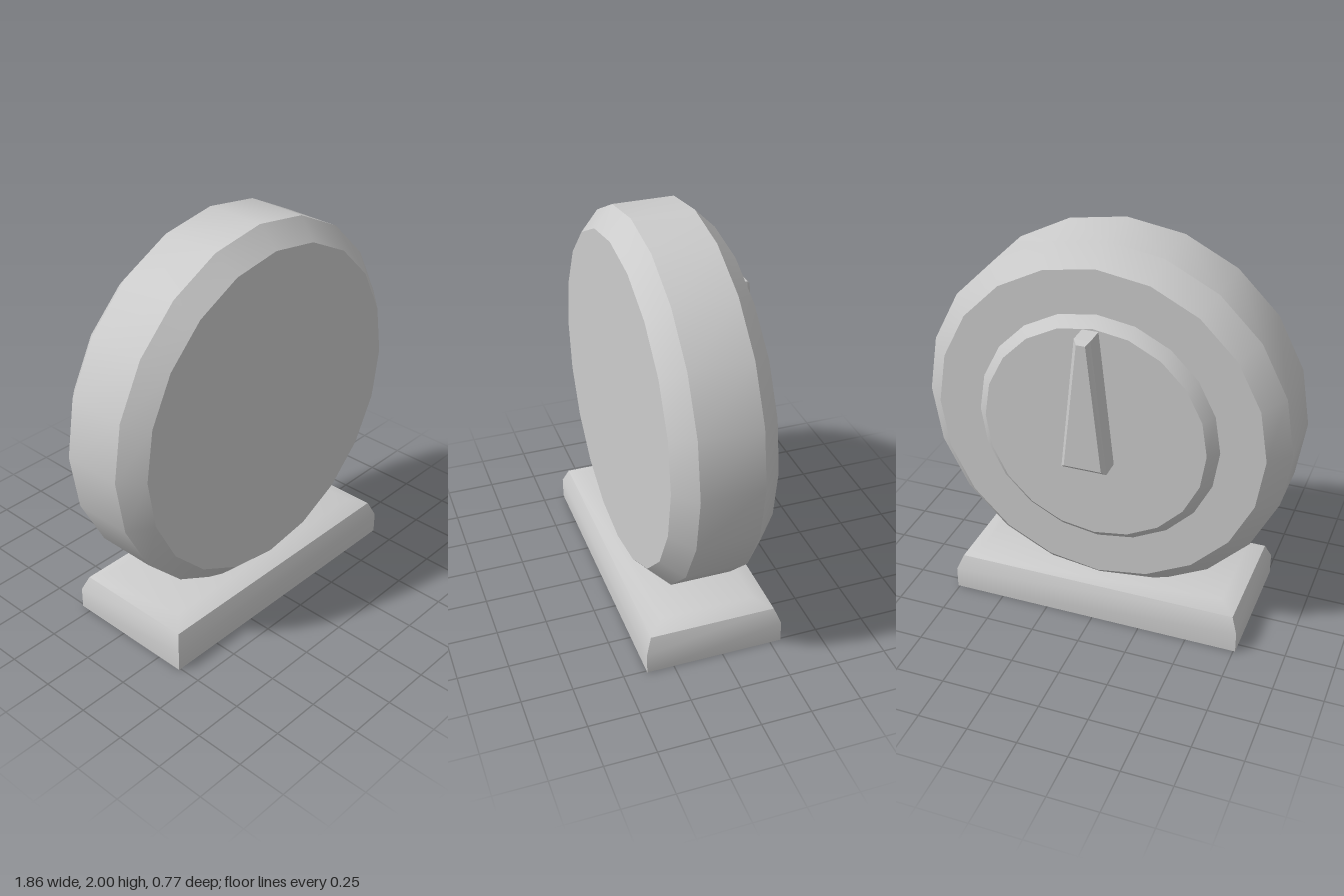
import * as THREE from 'three';
import { toCreasedNormals } from 'three/addons/utils/BufferGeometryUtils.js';

const CREASE = 0.6;
const grey = new THREE.MeshStandardMaterial({ color: 0xcccccc });
const greyDouble = new THREE.MeshStandardMaterial({ color: 0xcccccc, side: THREE.DoubleSide });

function part(name, geometry, material = grey) {
  const mesh = new THREE.Mesh(toCreasedNormals(geometry, CREASE), material);
  mesh.name = name;
  return mesh;
}

// 20-sided disc turned around the z axis; profile is [radius, z] from back to front
function disc(name, profile) {
  const points = profile.map(([r, z]) => new THREE.Vector2(r, z));
  const mesh = part(name, new THREE.LatheGeometry(points, 20).rotateX(Math.PI / 2));
  mesh.position.y = 1.07;
  return mesh;
}

// Four-cornered sections stacked along +z, open at the start and capped at the end.
// Each section: [z, bottom half width, top half width, bottom y, top y]
function loft(sections) {
  const positions = [];
  const index = [];
  sections.forEach(([z, wb, wt, y0, y1], s) => {
    positions.push(-wb, y0, z, wb, y0, z, wt, y1, z, -wt, y1, z);
    if (s === 0) return;
    for (let i = 0; i < 4; i++) {
      const a = (s - 1) * 4 + i;
      const b = (s - 1) * 4 + ((i + 1) % 4);
      index.push(a, b, b + 4, a, b + 4, a + 4);
    }
  });
  const e = (sections.length - 1) * 4;
  index.push(e, e + 1, e + 2, e, e + 2, e + 3);
  const geometry = new THREE.BufferGeometry();
  geometry.setAttribute('position', new THREE.Float32BufferAttribute(positions, 3));
  geometry.setIndex(index);
  return geometry;
}

export function createModel() {
  const model = new THREE.Group();
  model.name = 'roundDeviceOnStand';

  // Bevelled round housing
  model.add(disc('housing', [
    [0, -0.215], [0.83, -0.215], [0.93, -0.115], [0.93, 0.19], [0.83, 0.29], [0, 0.29],
  ]));

  // Raised plate on the back
  model.add(disc('backPlate', [[0, -0.265], [0.56, -0.265], [0.61, -0.215]]));

  // Tapered pointer knob on the back plate
  const pointer = part('pointerKnob', loft([
    [0.26, 0.114, 0.04, 0.93, 1.62],
    [0.365, 0.114, 0.04, 0.93, 1.62],
    [0.385, 0.094, 0.022, 0.95, 1.6],
  ]).rotateY(Math.PI));
  pointer.position.x = 0.01;
  model.add(pointer);

  // Hollow base, open underneath, with a two-step bevel: [height, inset]
  const steps = [[0, 0], [0.11, 0], [0.185, 0.03], [0.215, 0.11]];
  const base = part('base', loft(steps.map(([h, inset]) => {
    const w = 0.76 - inset;
    const d = 0.345 - inset;
    return [h, w, w, -d, d];
  })).rotateX(-Math.PI / 2), greyDouble);
  base.position.z = 0.04;
  model.add(base);

  return model;
}
